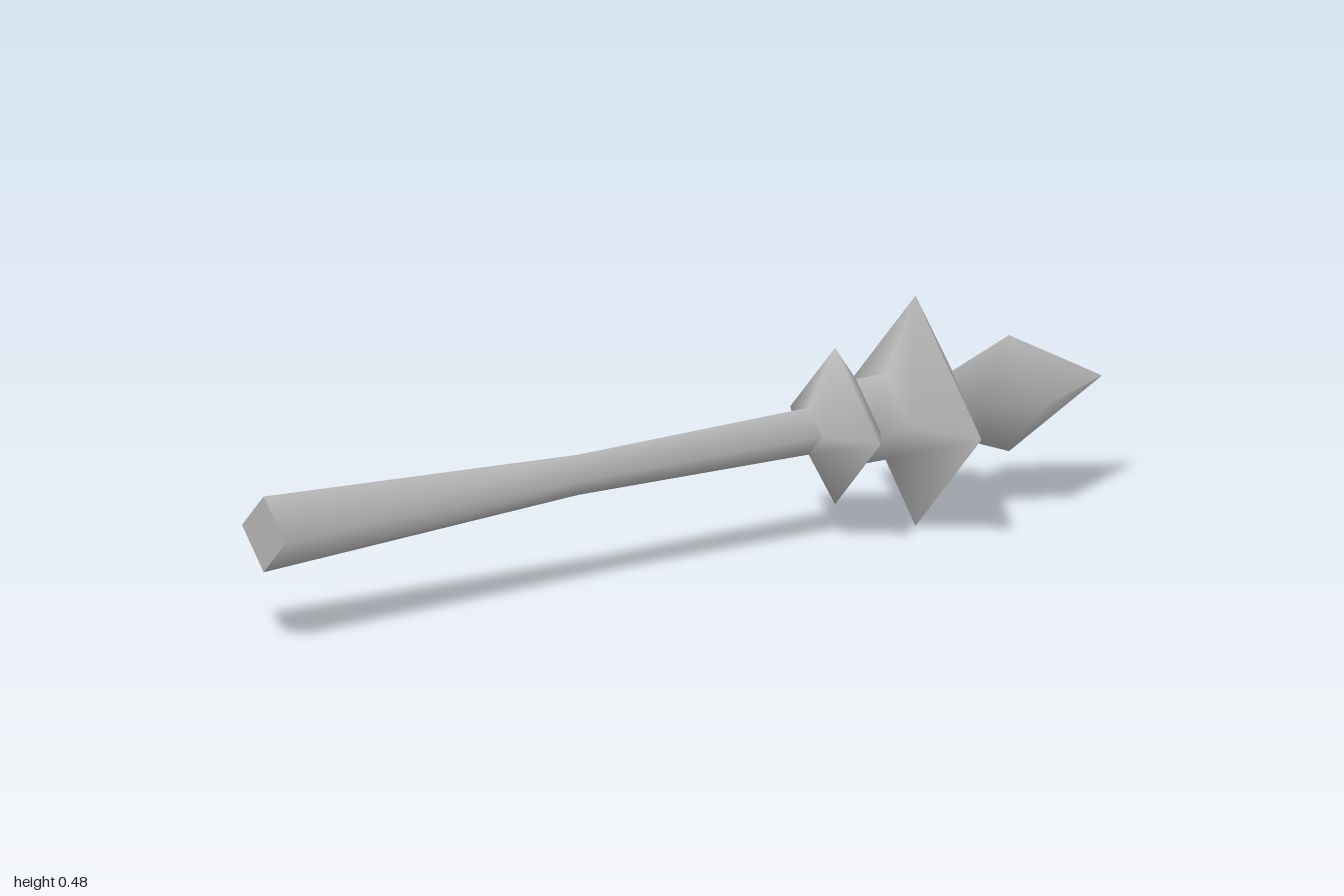
import * as THREE from 'three';

export function createModel() {
  const group = new THREE.Group();
  const steel = new THREE.MeshStandardMaterial({ color: 0xb8b8b8 });
  steel.name = 'grey steel';

  // Four-sided turned section along x; profile points are [x, radius]
  const addSection = (name, profile) => {
    const points = profile.map(([x, r]) => new THREE.Vector2(r, x));
    const geometry = new THREE.LatheGeometry(points, 4);
    geometry.rotateZ(-Math.PI / 2);
    const mesh = new THREE.Mesh(geometry, steel);
    mesh.name = name;
    mesh.position.y = 0.24;
    group.add(mesh);
  };

  // Flared handle with its closed butt end
  addSection('handleEnd', [[-1, 0], [-1, 0.079]]);
  addSection('handle', [[-1, 0.079], [-0.25, 0.042], [0.3, 0.049]]);

  // Small collar, neck and the back of the large flange
  addSection('collar', [[0.3, 0.049], [0.363, 0.163], [0.413, 0.09]]);
  addSection('neckAndFlangeBack', [[0.413, 0.09], [0.487, 0.09], [0.555, 0.24]]);

  // Flange front narrowing into the pointed head
  addSection('flangeFrontAndSpike', [[0.555, 0.24], [0.643, 0.069], [0.778, 0.121], [1, 0]]);

  return group;
}
